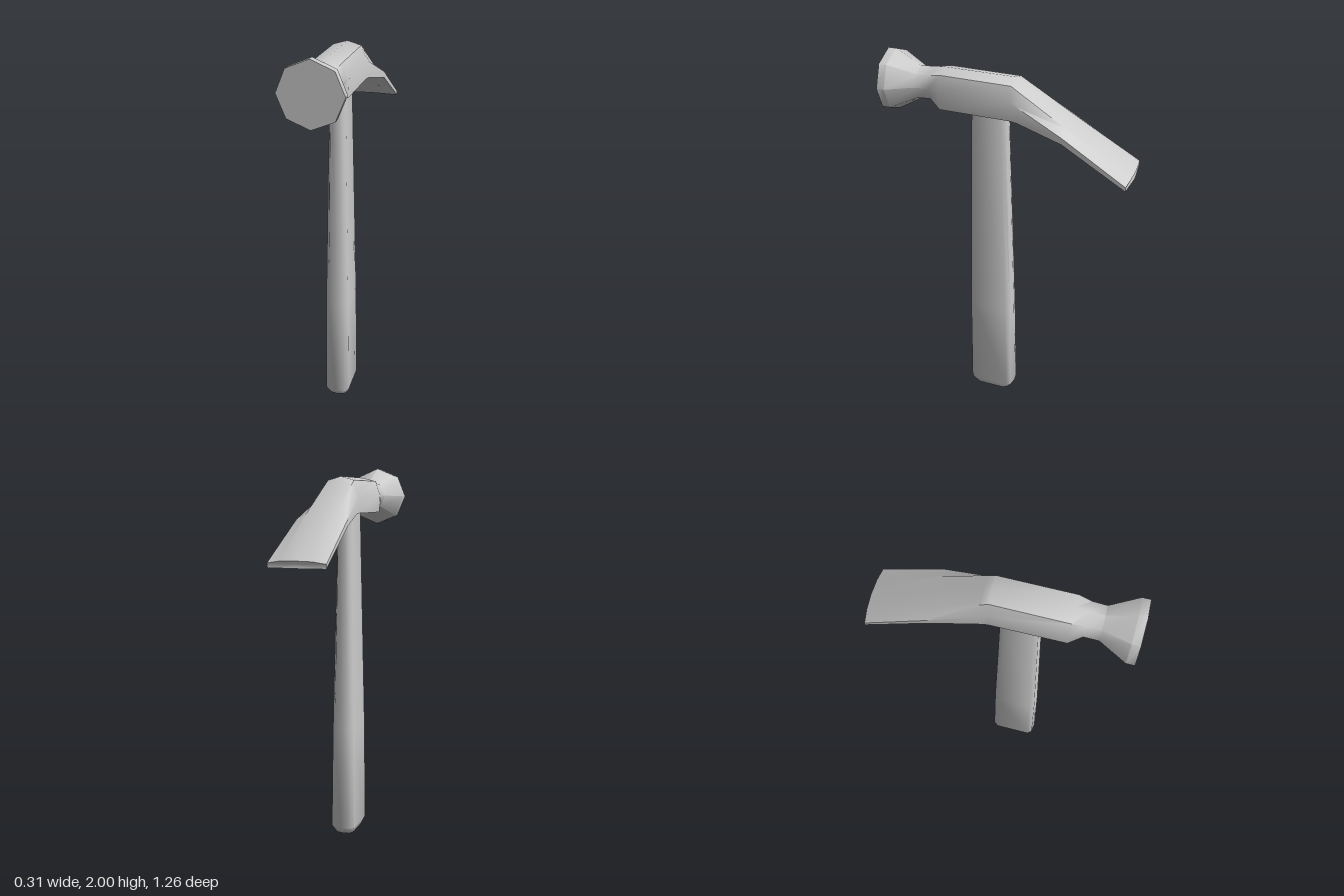
import * as THREE from 'three';
import { toCreasedNormals } from 'three/addons/utils/BufferGeometryUtils.js';

// Skin a list of rings (arrays of Vector3) and close both ends with fans.
// capLift moves the centre of the first cap along the axis.
function loft(rings, crease, capLift = new THREE.Vector3()) {
  const pos = [];
  const tri = (...pts) => pts.forEach((p) => pos.push(p.x, p.y, p.z));
  const n = rings[0].length;
  const centre = (ring) =>
    ring.reduce((s, p) => s.add(p), new THREE.Vector3()).divideScalar(n);
  const first = rings[0];
  const last = rings[rings.length - 1];
  const c0 = centre(first).add(capLift);
  const c1 = centre(last);
  for (let j = 0; j < n; j++) {
    const k = (j + 1) % n;
    for (let i = 0; i < rings.length - 1; i++) {
      const a = rings[i], b = rings[i + 1];
      tri(a[j], a[k], b[j]);
      tri(a[k], b[k], b[j]);
    }
    tri(c0, first[k], first[j]);
    tri(c1, last[j], last[k]);
  }
  const geo = new THREE.BufferGeometry();
  geo.setAttribute('position', new THREE.Float32BufferAttribute(pos, 3));
  return toCreasedNormals(geo, crease);
}

// Complete a right-hand half section (first and last points on the axis).
const mirror = (half) => [
  ...half,
  ...half.slice(1, -1).reverse().map(([x, y]) => [-x, y]),
];

// Eight-sided round section with a corner at the top
const octagon = (y, r) => {
  const d = r * Math.SQRT1_2;
  return [[0, y + r], [d, y + d], [r, y], [d, y - d], [0, y - r]];
};

export function createModel() {
  const group = new THREE.Group();
  const material = new THREE.MeshStandardMaterial({ color: 0xcccccc });
  const add = (name, geo) => {
    const mesh = new THREE.Mesh(geo, material);
    mesh.name = name;
    group.add(mesh);
  };

  // Head: striking face, neck, flat-bottomed body and drooping claw
  const headSections = [
    [0.63, octagon(1.845, 0.155)],
    [0.59, octagon(1.845, 0.155)],
    [0.46, octagon(1.847, 0.084)],
    [0.39, octagon(1.85, 0.085)],
    [0.33, [[0, 1.94], [0.07, 1.922], [0.097, 1.85], [0.093, 1.757], [0, 1.754]]],
    [-0.03, [[0, 1.938], [0.07, 1.918], [0.095, 1.85], [0.095, 1.753], [0, 1.753]]],
    [-0.07, [[0, 1.911], [0.072, 1.893], [0.101, 1.83], [0.101, 1.75], [0, 1.75]]],
    [-0.3, [[0, 1.76], [0.08, 1.753], [0.132, 1.725], [0.132, 1.693], [0, 1.695]]],
    [-0.63, [[0, 1.547], [0.08, 1.545], [0.145, 1.535], [0.145, 1.513], [0, 1.513]]],
  ];
  const headRings = headSections.map(([z, half]) =>
    mirror(half).map(([x, y]) => {
      const bow = z < -0.6 ? 0.012 * (x / 0.145) ** 2 : 0; // curved claw tip
      return new THREE.Vector3(x, y, z + bow);
    }));
  add('head', loft(headRings, 0.85));

  // Handle: tapered, flat on the sides and rounded front and back
  const handleSections = [
    // y, half width, half depth, centre z
    [0.018, 0.05, 0.1, 0.1],
    [0.055, 0.064, 0.128, 0.1],
    [0.6, 0.059, 0.122, 0.101],
    [1.8, 0.039, 0.094, 0.1],
  ];
  const handleRings = handleSections.map(([y, w, d, z]) =>
    mirror([[0, d], [w * 0.7, d - 0.007], [w, d - 0.03],
      [w, 0.03 - d], [w * 0.7, 0.007 - d], [0, -d]])
      .map(([u, v]) => new THREE.Vector3(u, y, z + v)));
  add('handle', loft(handleRings, 0.9, new THREE.Vector3(0, -0.018, 0)));

  return group;
}
